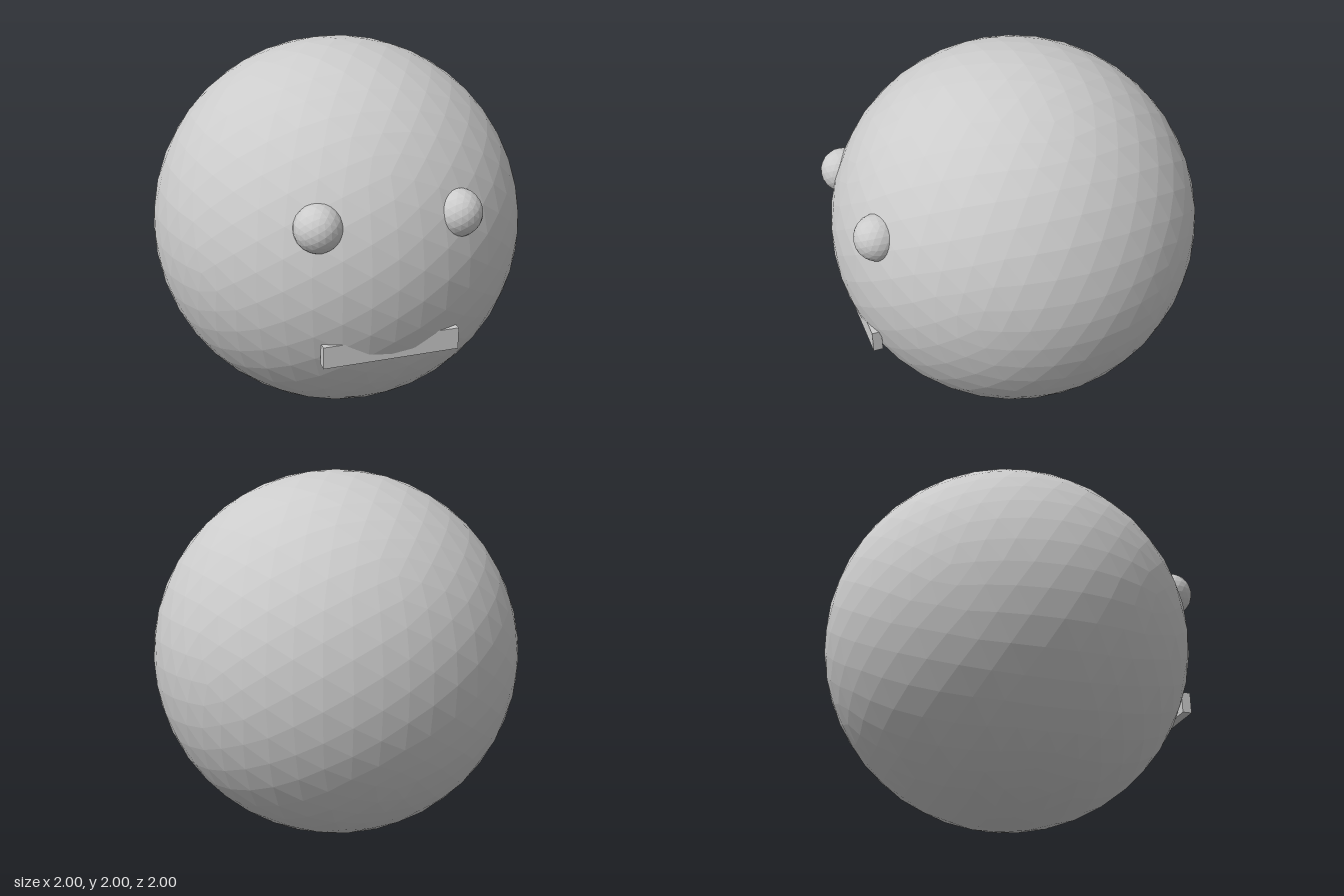
import * as THREE from 'three';

export function createModel() {
  const model = new THREE.Group();
  const material = new THREE.MeshStandardMaterial({ color: 0xcccccc, flatShading: true });

  const add = (name, geometry, x, y, z) => {
    const mesh = new THREE.Mesh(geometry, material);
    mesh.name = name;
    mesh.position.set(x, y, z);
    model.add(mesh);
  };

  // Faceted ball for the head
  add('head', new THREE.IcosahedronGeometry(1, 7), 0, 1, 0);

  // Mirrored eyes, partly sunk into the head
  for (const [name, side] of [['leftEye', 1], ['rightEye', -1]]) {
    add(name, new THREE.IcosahedronGeometry(0.12, 3), side * 0.35, 1.3, 0.85);
  }

  // Straight bar; the head's curve cuts it into a smile
  add('mouth', new THREE.BoxGeometry(0.7, 0.115, 0.05), 0, 0.657, 0.9);

  return model;
}
